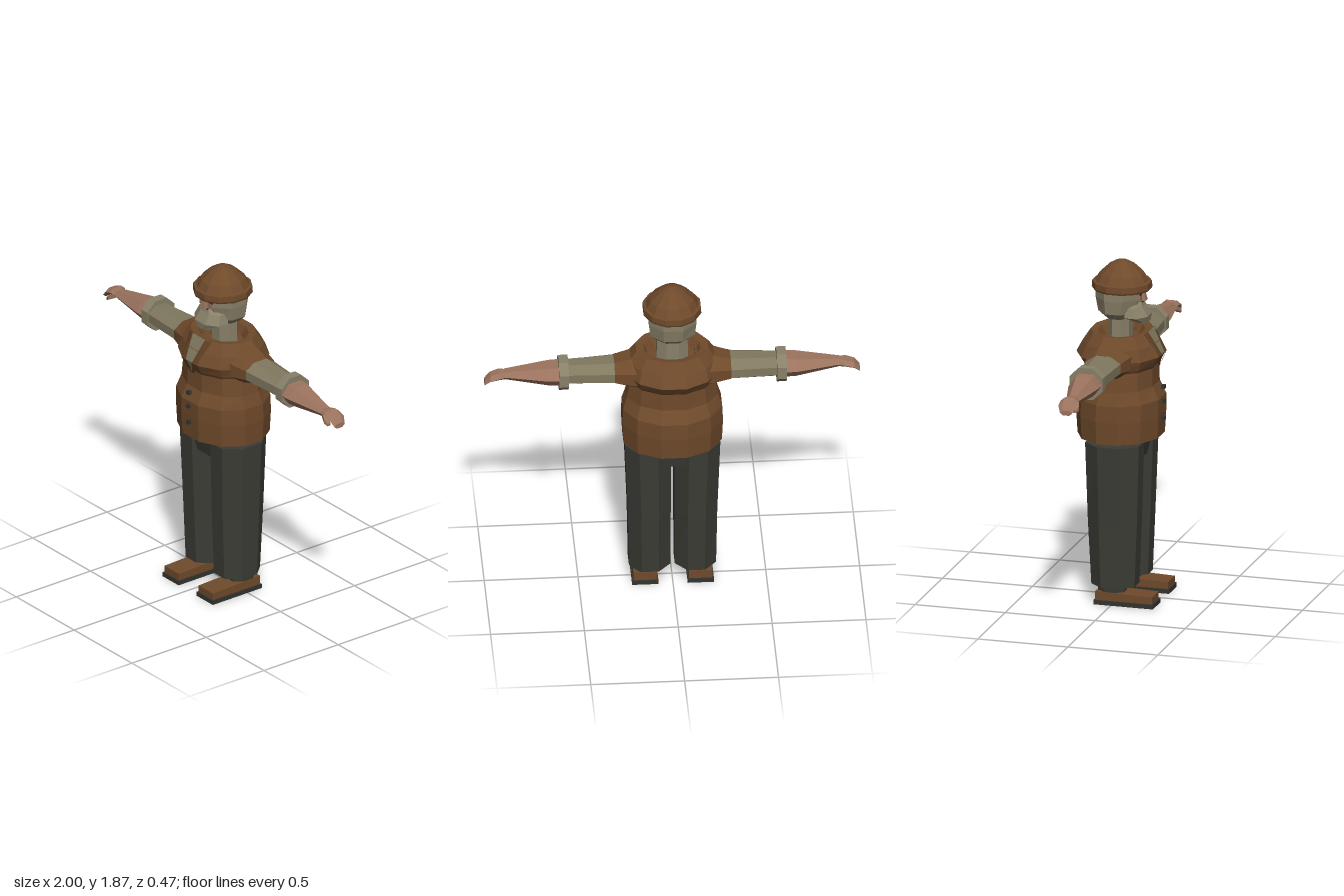
import * as THREE from 'three';

const mat = (name, color, side = THREE.FrontSide) => {
  const m = new THREE.MeshStandardMaterial({ color, side });
  m.name = name;
  return m;
};

// Ring of n points around y, with flat sides facing front and sides
function ring(y, rx, zf, zb, n = 8, cx = 0) {
  const k = 1 / Math.cos(Math.PI / n), rz = (zf - zb) / 2, zc = (zf + zb) / 2;
  return Array.from({ length: n }, (_, i) => {
    const a = ((i + 0.5) / n) * Math.PI * 2;
    return [cx + Math.sin(a) * rx * k, y, zc + Math.cos(a) * rz * k];
  });
}

// Ring around the arm axis; mirrored for the right side
function armRing(s, x, yt, yb, zf, zb, n = 8) {
  const k = 1 / Math.cos(Math.PI / n);
  const r = Array.from({ length: n }, (_, i) => {
    const a = ((i + 0.5) / n) * Math.PI * 2;
    return [s * x, (yt + yb) / 2 + Math.cos(a) * k * (yt - yb) / 2,
      (zf + zb) / 2 + Math.sin(a) * k * (zf - zb) / 2];
  });
  return s > 0 ? r : r.reverse();
}

// Faceted skin through rings, closed at both ends
function loft(rings) {
  const p = [], n = rings[0].length, last = rings[rings.length - 1];
  for (let j = 0; j < rings.length - 1; j++) {
    for (let i = 0; i < n; i++) {
      const h = (i + 1) % n;
      const [a, b, c, d] = [rings[j][i], rings[j][h], rings[j + 1][h], rings[j + 1][i]];
      p.push(...a, ...b, ...c, ...a, ...c, ...d);
    }
  }
  for (let i = 1; i < n - 1; i++) {
    p.push(...rings[0][0], ...rings[0][i + 1], ...rings[0][i]);
    p.push(...last[0], ...last[i], ...last[i + 1]);
  }
  return flat(p);
}

function flat(points) {
  const g = new THREE.BufferGeometry();
  g.setAttribute('position', new THREE.Float32BufferAttribute(points, 3));
  g.computeVertexNormals();
  return g;
}

// Open strip between two polylines
function strip(l, r) {
  const p = [];
  for (let i = 0; i < l.length - 1; i++) p.push(...l[i], ...l[i + 1], ...r[i + 1], ...l[i], ...r[i + 1], ...r[i]);
  return flat(p);
}

export function createModel() {
  const brown = mat('brown leather', 0x6f4a2b);
  const lapelBrown = mat('lapel brown', 0x5f3f24, THREE.DoubleSide);
  const charcoal = mat('charcoal cloth', 0x3b3c35);
  const dark = mat('dark sole', 0x33342f);
  const shirt = mat('shirt', 0x80785f, THREE.DoubleSide);
  const hair = mat('grey hair', 0x888068);
  const skin = mat('skin', 0x9c745f);

  const model = new THREE.Group();
  model.name = 'figure';
  const add = (name, geo, m, x = 0, y = 0, z = 0) => {
    const mesh = new THREE.Mesh(geo, m);
    mesh.name = name;
    mesh.position.set(x, y, z);
    model.add(mesh);
    return mesh;
  };
  const box = (w, h, d) => new THREE.BoxGeometry(w, h, d);

  // Vest with rounded belly, overhanging yoke and sunken neck opening
  add('vest', loft([
    [0.905, 0.262, 0.215, -0.228], [1.03, 0.268, 0.222, -0.235], [1.12, 0.264, 0.222, -0.232],
    [1.19, 0.243, 0.188, -0.19], [1.29, 0.228, 0.185, -0.188], [1.305, 0.236, 0.195, -0.2],
    [1.355, 0.25, 0.22, -0.235], [1.42, 0.235, 0.192, -0.2], [1.482, 0.192, 0.152, -0.16],
    [1.475, 0.15, 0.115, -0.125], [1.43, 0.12, 0.09, -0.1],
  ].map(([y, rx, f, b]) => ring(y, rx, f, b, 12))), brown);

  // Shirt front in the neck opening, with lapels each side
  add('shirtFront', strip(
    [[-0.055, 1.485, 0.157], [-0.03, 1.36, 0.224], [0, 1.3, 0.204]],
    [[0.055, 1.485, 0.157], [0.03, 1.36, 0.224], [0, 1.3, 0.204]]), shirt);
  for (const s of [-1, 1]) {
    add('lapel', strip(
      [[s * 0.055, 1.486, 0.162], [s * 0.028, 1.36, 0.23], [0, 1.285, 0.205]],
      [[s * 0.095, 1.486, 0.146], [s * 0.065, 1.36, 0.226], [s * 0.015, 1.285, 0.203]]), lapelBrown);
  }
  for (const y of [1.0, 1.095, 1.175]) add('button', box(0.02, 0.022, 0.02), dark, 0, y, 0.228);

  // Trousers
  add('trouserWaist', loft([ring(0.78, 0.17, 0.12, -0.125), ring(0.93, 0.205, 0.15, -0.155)]), charcoal);
  add('waistButton', box(0.02, 0.025, 0.015), dark, 0, 0.89, 0.157);

  for (const s of [-1, 1]) {
    const side = s > 0 ? 'left' : 'right';
    add(side + 'TrouserLeg', loft([
      ring(0.1, 0.11, 0.118, -0.122, 8, s * 0.122), ring(0.45, 0.114, 0.132, -0.14, 8, s * 0.124),
      ring(0.885, 0.122, 0.146, -0.152, 8, s * 0.132),
    ]), charcoal);
    add(side + 'Ankle', loft([
      ring(0.03, 0.058, 0.06, -0.08, 8, s * 0.148), ring(0.12, 0.065, 0.065, -0.085, 8, s * 0.148),
    ]), charcoal);

    // Shoe: flat sole and sloping upper
    add(side + 'Sole', box(0.14, 0.024, 0.33), dark, s * 0.148, 0.012, 0.07);
    const upper = box(0.125, 0.05, 0.315);
    const p = upper.attributes.position;
    for (let i = 0; i < p.count; i++) if (p.getY(i) > 0 && p.getZ(i) > 0) p.setY(i, 0.014);
    upper.computeVertexNormals();
    add(side + 'ShoeUpper', upper, brown, s * 0.148, 0.048, 0.07);

    // Arm: vest shoulder, shirt sleeve, cuff, bare forearm and curled hand
    const arm = (name, m, sections, n) =>
      add(side + name, loft(sections.map((q) => armRing(s, ...q, n))), m);
    arm('Shoulder', brown, [
      [0.12, 1.45, 1.26, 0.12, -0.14], [0.22, 1.44, 1.265, 0.11, -0.13], [0.31, 1.415, 1.288, 0.085, -0.11]]);
    arm('Sleeve', shirt, [[0.308, 1.413, 1.29, 0.084, -0.108], [0.57, 1.405, 1.288, 0.064, -0.09]]);
    arm('Cuff', hair, [[0.555, 1.432, 1.258, 0.074, -0.11], [0.606, 1.432, 1.258, 0.074, -0.11]]);
    arm('Forearm', skin, [
      [0.6, 1.4, 1.287, 0.06, -0.088], [0.66, 1.397, 1.29, 0.058, -0.088], [0.892, 1.362, 1.318, 0.028, -0.036]], 6);
    arm('Hand', skin, [
      [0.885, 1.36, 1.318, 0.025, -0.035], [0.925, 1.364, 1.322, 0.03, -0.055],
      [0.97, 1.348, 1.312, 0.028, -0.055], [1.0, 1.312, 1.285, 0.02, -0.04]], 6);
    arm('Thumb', skin, [
      [0.9, 1.34, 1.318, 0.03, 0.005], [0.935, 1.325, 1.3, 0.044, 0.012], [0.955, 1.305, 1.29, 0.036, 0.016]], 4);

    // Eyes
    add(side + 'Eye', box(0.028, 0.012, 0.006), dark, s * 0.048, 1.693, 0.117);
  }

  // Neck and head
  add('neck', loft([ring(1.38, 0.085, 0.05, -0.07), ring(1.6, 0.08, 0.045, -0.065)]), hair);
  add('head', loft([
    ring(1.55, 0.085, 0.05, -0.085), ring(1.585, 0.118, 0.085, -0.12),
    ring(1.66, 0.127, 0.105, -0.133), ring(1.73, 0.128, 0.11, -0.133),
  ]), hair);
  add('face', box(0.106, 0.06, 0.008), skin, 0, 1.68, 0.11);
  add('nose', loft([ring(1.648, 0.02, 0.135, 0.09, 4), ring(1.705, 0.009, 0.122, 0.09, 4)]), skin);
  add('mouth', box(0.045, 0.008, 0.006), dark, 0, 1.643, 0.116);

  // Beard jutting forward and down
  add('beard', loft([
    ring(1.533, 0.05, 0.15, 0.085), ring(1.568, 0.105, 0.152, 0.0),
    ring(1.62, 0.09, 0.12, 0.0), ring(1.645, 0.04, 0.112, 0.02),
  ]), hair);

  // Domed cap with a rolled brim
  add('cap', loft([
    [1.705, 0.15], [1.715, 0.154], [1.747, 0.152], [1.75, 0.138], [1.79, 0.115],
    [1.835, 0.068], [1.857, 0.03], [1.865, 0.004],
  ].map(([y, r]) => ring(y, r, r, -r - 0.004, 12))), brown);

  return model;
}
